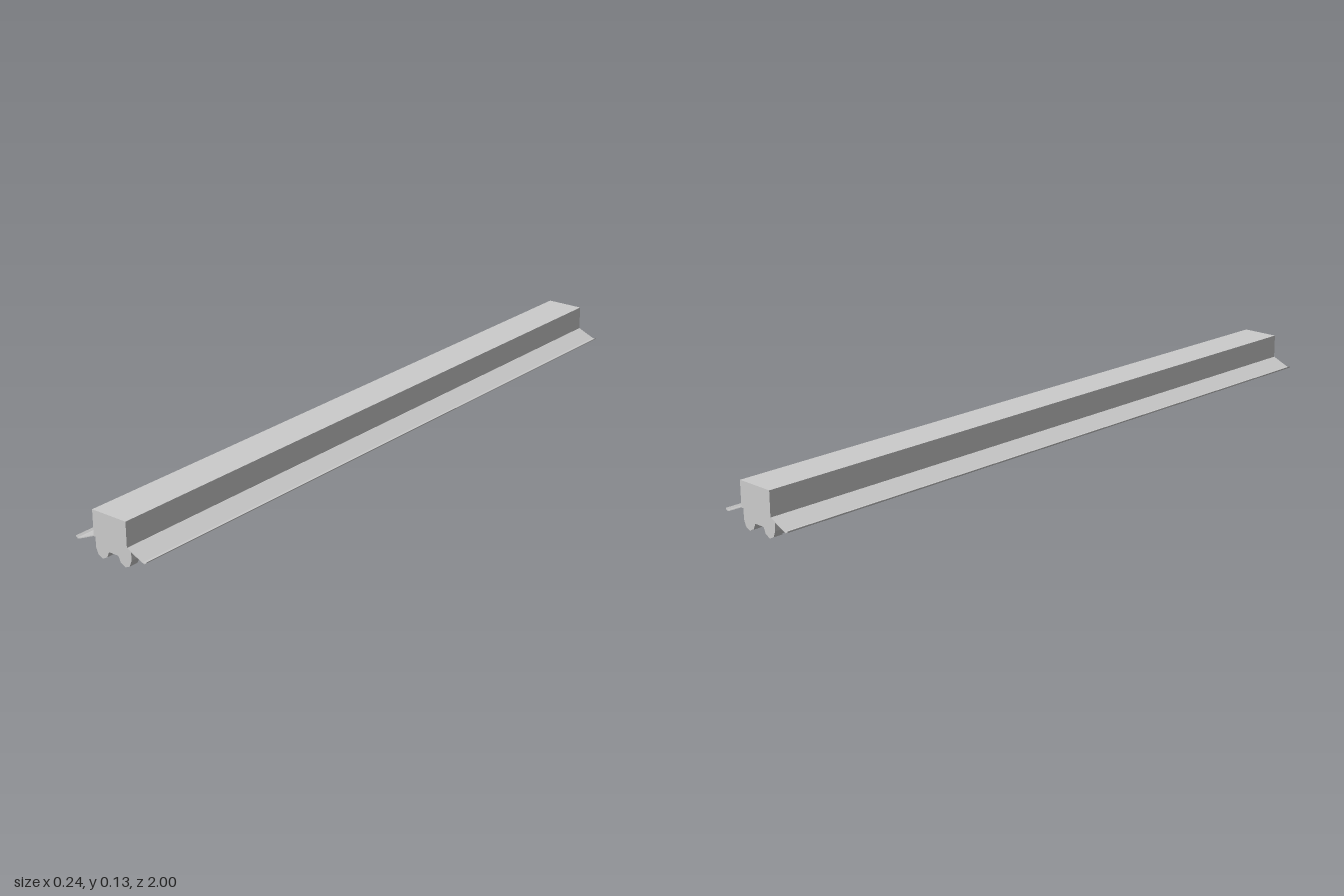
import * as THREE from 'three';

const material = new THREE.MeshStandardMaterial({ color: 0xcccccc, side: THREE.DoubleSide });

// Extrudes an outline in the x/y plane along z, centred on the given z
function extrude(name, points, length, z = 0) {
  const shape = new THREE.Shape(points.map(([x, y]) => new THREE.Vector2(x, y)));
  const geometry = new THREE.ExtrudeGeometry(shape, { depth: length, bevelEnabled: false });
  geometry.translate(0, 0, z - length / 2);
  const mesh = new THREE.Mesh(geometry, material);
  mesh.name = name;
  return mesh;
}

// Completes a half outline (x > 0) with its mirror image
const mirrored = (half) => [...half, ...half.map(([x, y]) => [-x, y]).reverse()];

export function createModel() {
  const group = new THREE.Group();
  group.name = 'tubeLightFixture';

  // Long housing
  const housing = new THREE.Mesh(new THREE.BoxGeometry(0.112, 0.07, 2), material);
  housing.position.y = 0.094;
  housing.name = 'housing';
  group.add(housing);

  // Thin sheet reflector: flat centre, sloping wings and upturned lips
  const underside = [[0, 0.058], [0.057, 0.058], [0.107, 0.036], [0.113, 0.035], [0.119, 0.039]];
  const topside = underside.map(([x, y]) => [x, y + 0.0025]).reverse();
  const reflectorHalf = [...underside.slice(1), ...topside.slice(0, -1)];
  const left = reflectorHalf.map(([x, y]) => [-x, y]).reverse();
  group.add(extrude('reflector', [...reflectorHalf, ...left], 2));

  // Two-lobed lamp holders at both ends
  const holder = mirrored([
    [0.016, 0.024], [0.023, 0.008], [0.038, 0], [0.053, 0.007], [0.06, 0.024], [0.06, 0.058],
  ]);
  for (const end of [1, -1]) {
    group.add(extrude(end > 0 ? 'frontLampHolder' : 'backLampHolder', holder, 0.026, end * 0.978));
  }

  // Pair of tubes between the holders
  for (const side of [1, -1]) {
    const tube = new THREE.Mesh(new THREE.CylinderGeometry(0.017, 0.017, 1.94, 24), material);
    tube.rotation.x = Math.PI / 2;
    tube.position.set(side * 0.038, 0.022, 0);
    tube.name = side > 0 ? 'leftTube' : 'rightTube';
    group.add(tube);
  }

  return group;
}
